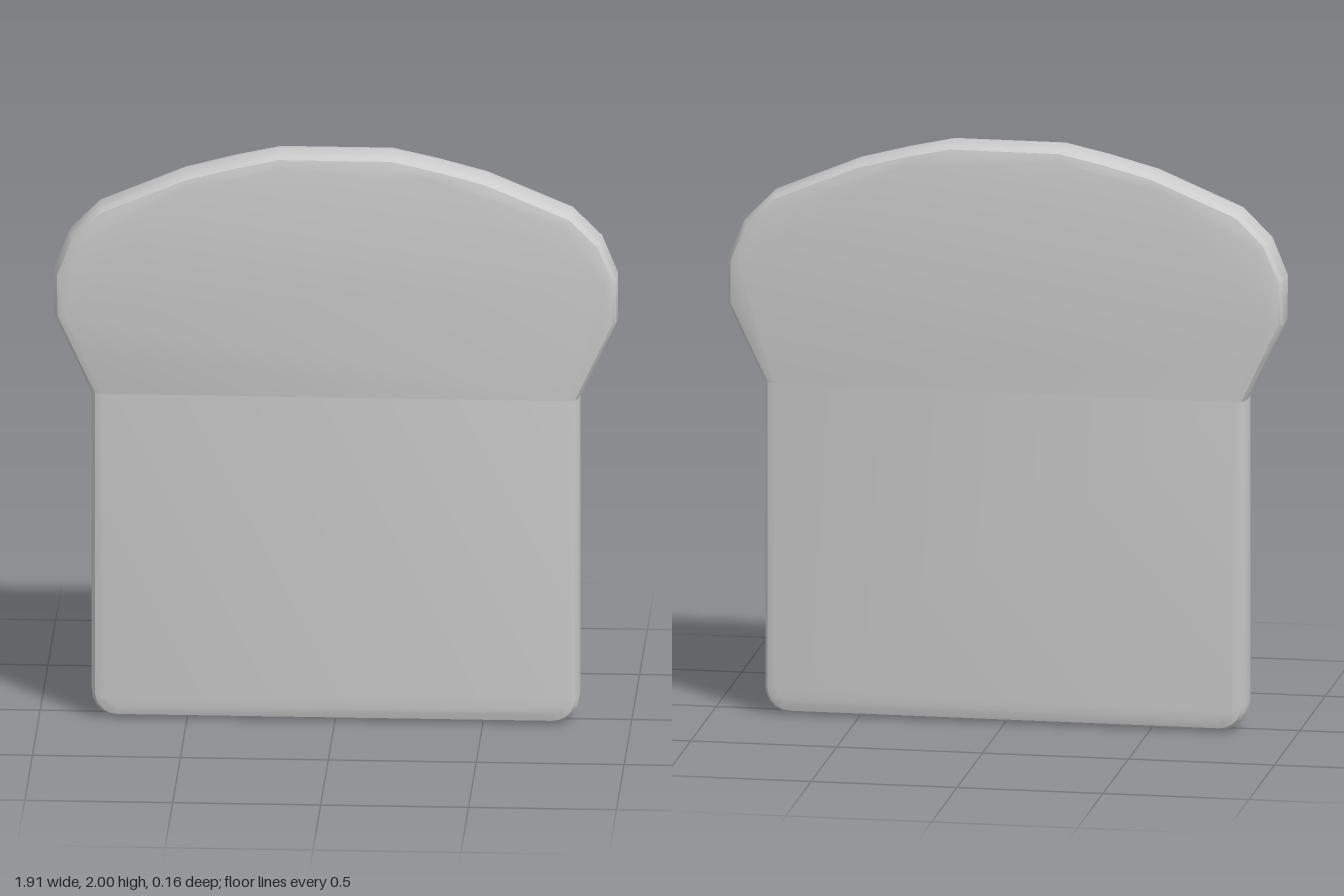
import * as THREE from 'three';
import { toCreasedNormals } from 'three/addons/utils/BufferGeometryUtils.js';

// Rounded edge profile, front to back: [inset from the outline, z]
const half = [[0.042, 0.08], [0.014, 0.072], [0.003, 0.052], [0, 0.02]];
const edge = [...half, ...half.map(([d, z]) => [d, -z]).reverse()];

// Shift a counter-clockwise path inwards; its two ends slide along the seam
function inset(path, d) {
  const last = path.length - 1;
  return path.map((p, i) => {
    if (i === 0 || i === last) return new THREE.Vector2(p.x - Math.sign(p.x) * d, p.y);
    const a = p.clone().sub(path[i - 1]).normalize();
    const b = path[i + 1].clone().sub(p).normalize();
    const n = new THREE.Vector2(-a.y - b.y, a.x + b.x).normalize();
    const miter = n.x * -a.y + n.y * a.x;
    return p.clone().addScaledVector(n, d / miter);
  });
}

// Slab with flat faces and a rounded rim, open where it meets its neighbour
function slab(name, path, material) {
  const n = path.length, positions = [], index = [];
  for (const [d, z] of edge) for (const p of inset(path, d)) positions.push(p.x, p.y, z);
  for (let r = 0; r < edge.length - 1; r++) {
    for (let j = 0; j < n - 1; j++) {
      const a = r * n + j, b = a + n;
      index.push(b, b + 1, a + 1, b, a + 1, a);
    }
  }
  const back = (edge.length - 1) * n;
  for (const [a, b, c] of THREE.ShapeUtils.triangulateShape(inset(path, edge[0][0]), [])) {
    index.push(a, b, c, back + a, back + c, back + b);
  }
  const geometry = new THREE.BufferGeometry();
  geometry.setAttribute('position', new THREE.Float32BufferAttribute(positions, 3));
  geometry.setIndex(index);
  const mesh = new THREE.Mesh(toCreasedNormals(geometry, 0.5), material);
  mesh.name = name;
  return mesh;
}

// Complete a half outline by mirroring it in x
function mirrored(points) {
  const side = points.map(([x, y]) => new THREE.Vector2(x, y));
  return [...side, ...side.map((p) => new THREE.Vector2(-p.x, p.y)).reverse()];
}

export function createModel() {
  const group = new THREE.Group();
  group.name = 'breadSlice';
  const material = new THREE.MeshStandardMaterial({ color: 0xcccccc, side: THREE.DoubleSide });

  // Domed crown bulging past the body
  const crown = mirrored([
    [0.825, 1.15], [0.885, 1.275], [0.952, 1.42], [0.953, 1.57], [0.9, 1.7],
    [0.8, 1.8], [0.51, 1.922], [0.34, 1.967], [0.19, 2],
  ]);

  // Square body with rounded bottom corners
  const corner = [];
  const radius = 0.09;
  for (let i = 0; i <= 5; i++) {
    const t = (i / 5) * Math.PI / 2;
    corner.push([-0.735 - radius * Math.cos(t), radius - radius * Math.sin(t)]);
  }
  const body = mirrored([[-0.825, 1.15], ...corner]);

  group.add(slab('crown', crown, material), slab('body', body, material));
  return group;
}
